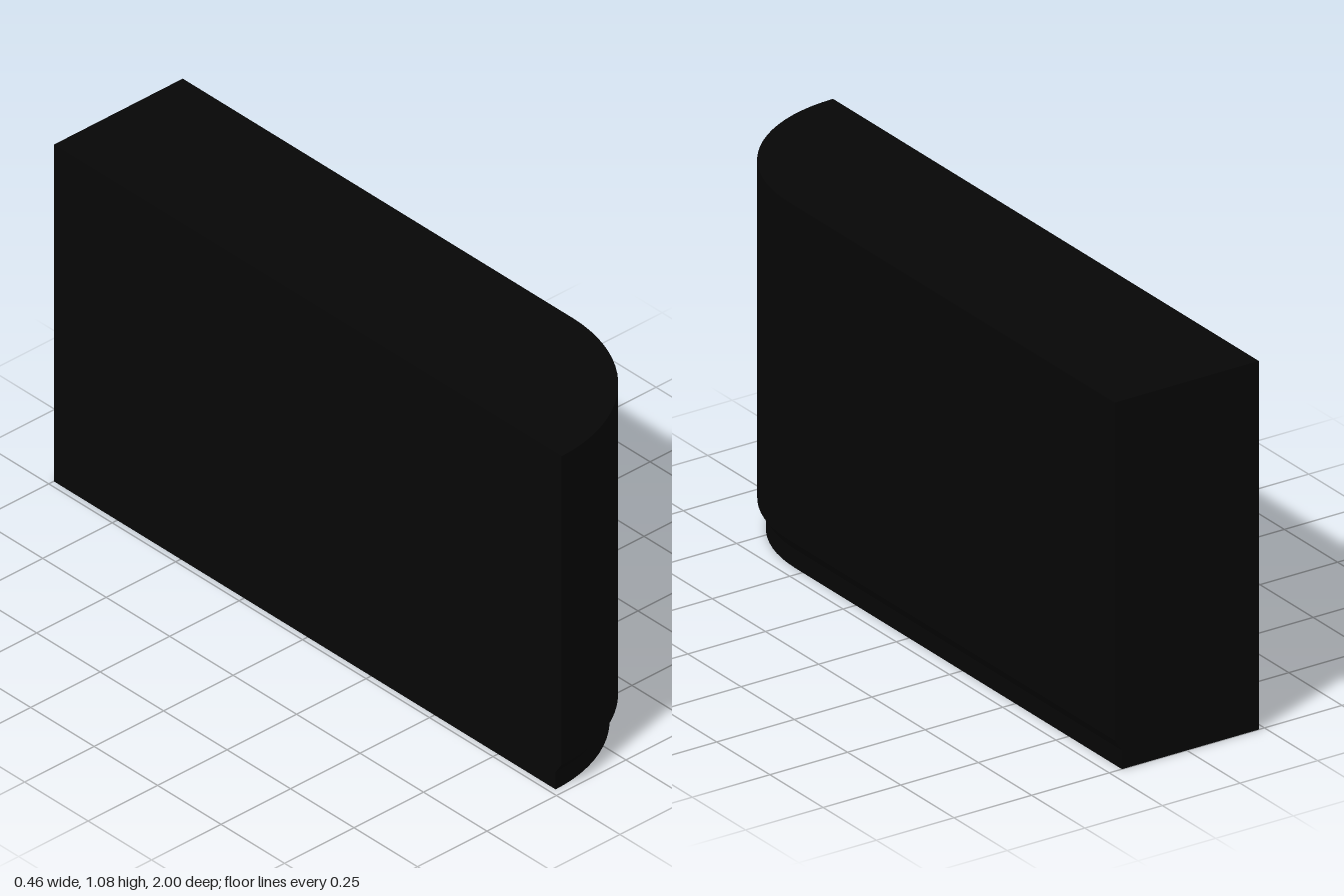
import * as THREE from 'three';
import { toCreasedNormals } from 'three/addons/utils/BufferGeometryUtils.js';

const LEFT = -0.232, WIDTH = 0.464, HEIGHT = 1.08, STEP = 0.023, RIM = 0.046;
const black = new THREE.MeshStandardMaterial({ color: 0x060606 });
black.name = 'black';
const paleGrey = new THREE.MeshStandardMaterial({ color: 0xd5d5d5 });
paleGrey.name = 'paleGrey';

// Plan outline (x, z): straight back, rounded front corner
function outline(inset, backInset = 0) {
  const back = -1 + backInset, r = WIDTH - inset, n = 20;
  const pts = [new THREE.Vector2(LEFT, back), new THREE.Vector2(LEFT + r, back)];
  for (let i = 0; i <= n; i++) {
    const a = (i / n) * Math.PI / 2;
    pts.push(new THREE.Vector2(LEFT + r * Math.cos(a), 1 - WIDTH + r * Math.sin(a)));
  }
  return pts;
}

// Flat horizontal face facing up or down
function cap(pts, y, up) {
  const s = up ? -1 : 1;
  const shape = new THREE.Shape(pts.map(p => new THREE.Vector2(p.x, s * p.y)));
  return new THREE.ShapeGeometry(shape).rotateX(s * Math.PI / 2).translate(0, y, 0);
}

// Side walls lofted through [height, inset] levels
function walls(levels) {
  const pos = [];
  for (let k = 0; k < levels.length - 1; k++) {
    const [y0, i0] = levels[k], [y1, i1] = levels[k + 1];
    const low = outline(i0), high = outline(i1);
    for (let i = 0; i < low.length; i++) {
      const j = (i + 1) % low.length;
      const a = [low[i].x, y0, low[i].y], b = [high[i].x, y1, high[i].y];
      const c = [high[j].x, y1, high[j].y], d = [low[j].x, y0, low[j].y];
      pos.push(...a, ...b, ...c, ...a, ...c, ...d);
    }
  }
  const geo = new THREE.BufferGeometry();
  geo.setAttribute('position', new THREE.Float32BufferAttribute(pos, 3));
  return toCreasedNormals(geo, 0.4);
}

export function createModel() {
  const group = new THREE.Group();
  const add = (name, geo, mat) => {
    const mesh = new THREE.Mesh(geo, mat);
    mesh.name = name;
    group.add(mesh);
  };

  // Body with a stepped, chamfered foot
  add('bodyWalls', walls([[0, STEP], [0.055, STEP], [0.09, 0], [HEIGHT, 0]]), black);
  add('topFace', cap(outline(0), HEIGHT, true), black);

  // Underside: black rim on three sides around a pale panel
  const outer = outline(STEP), inner = outline(STEP + RIM, RIM);
  add('bottomRim', cap([...outer, ...inner.slice().reverse()], 0, false), black);
  add('bottomPanel', cap(inner, 0, false), paleGrey);
  return group;
}
